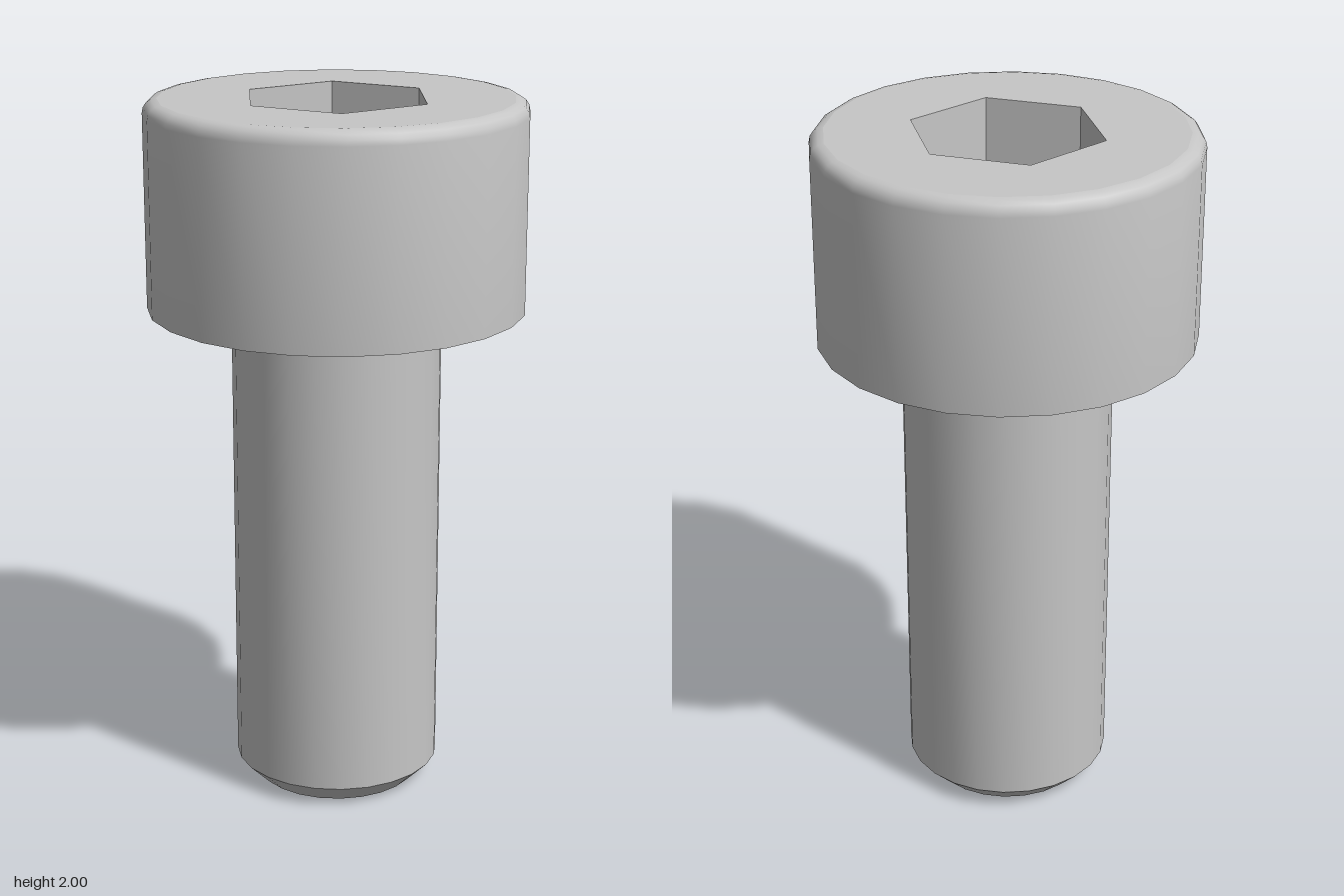
import * as THREE from 'three';
import { toCreasedNormals } from 'three/addons/utils/BufferGeometryUtils.js';

const SIDES = 24;

// Points of a regular polygon with one corner on the z axis
function ring(radius, sides) {
  return Array.from({ length: sides }, (_, i) => {
    const a = (i / sides) * Math.PI * 2;
    return new THREE.Vector2(Math.sin(a) * radius, Math.cos(a) * radius);
  });
}

// Turned surface from [radius, height] pairs; upward profiles face outwards
function turned(profile, sides) {
  return new THREE.LatheGeometry(profile.map(([r, y]) => new THREE.Vector2(r, y)), sides);
}

export function createModel() {
  const group = new THREE.Group();
  const steel = new THREE.MeshStandardMaterial({ color: 0xc6c6c6 });
  steel.name = 'steel';

  const add = (name, geometry) => {
    const mesh = new THREE.Mesh(geometry, steel);
    mesh.name = name;
    group.add(mesh);
    return mesh;
  };

  const headR = 0.53, headBase = 1.415, top = 2, fillet = 0.04;
  const shankR = 0.295, tipR = 0.235;
  const socketR = 0.272, socketFloor = 1.7, socketTip = 1.56;

  // Shank with chamfered end
  const shank = turned([[0, 0], [tipR, 0], [shankR, 0.06], [shankR, headBase]], SIDES);
  add('shank', toCreasedNormals(shank, Math.PI / 6));

  // Head underside, wall and rounded rim
  const profile = [[shankR, headBase], [headR, headBase]];
  for (let i = 0; i <= 4; i++) {
    const a = (i / 4) * Math.PI / 2;
    profile.push([headR - fillet + Math.cos(a) * fillet, top - fillet + Math.sin(a) * fillet]);
  }
  add('head', toCreasedNormals(turned(profile, SIDES), Math.PI / 6));

  // Flat top with hexagonal opening
  const face = new THREE.Shape(ring(headR - fillet, SIDES));
  face.holes.push(new THREE.Path(ring(socketR, 6)));
  const topFace = new THREE.ShapeGeometry(face);
  topFace.rotateX(-Math.PI / 2);
  add('headTop', topFace).position.y = top;

  // Six flat socket walls
  const walls = turned([[socketR, top], [socketR, socketFloor]], 6).toNonIndexed();
  walls.computeVertexNormals();
  add('socketWalls', walls);

  // Smooth drill-point floor
  add('socketFloor', turned([[socketR, socketFloor], [0, socketTip]], 6));

  return group;
}
